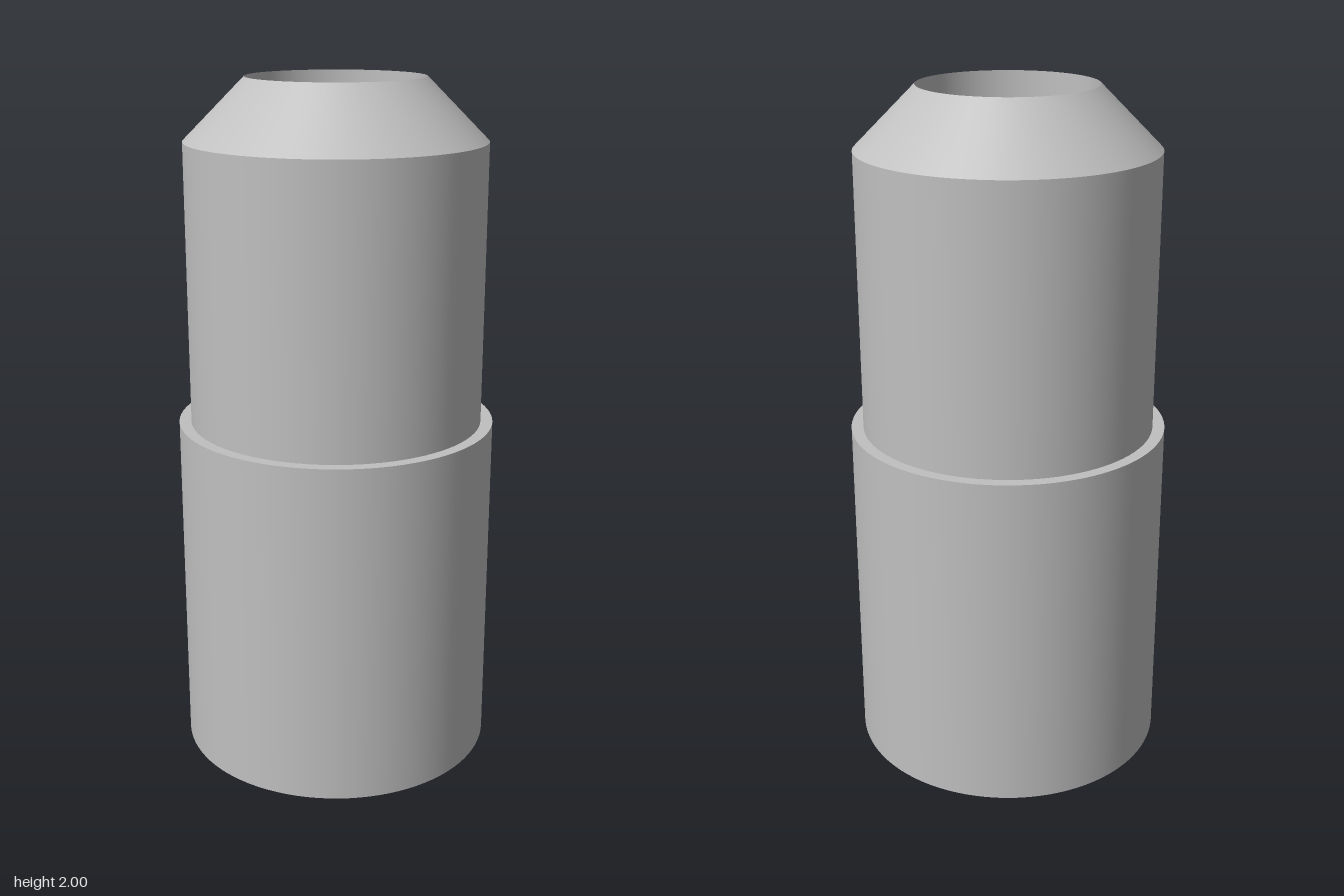
import * as THREE from 'three';

export function createModel() {
  const group = new THREE.Group();
  group.name = 'steppedSleeve';
  const metal = new THREE.MeshStandardMaterial({ color: 0xc0c0c0 });
  metal.name = 'greyMetal';

  const bore = 0.254, body = 0.429, base = 0.464;
  const stepY = 1.013, chamferY = 1.825, topY = 2;

  // Closed profile [radius, y], bottom inner edge outwards, up, and back down the bore
  const profile = [
    ['bottomRing', bore, 0],
    ['baseWall', base, 0],
    ['stepLedge', base, stepY],
    ['upperWall', body, stepY],
    ['topChamfer', body, chamferY],
    ['boreWall', bore, topY],
  ];

  // One surface per profile edge keeps the rims sharp and the walls smooth
  profile.forEach(([name, r, y], i) => {
    const [, r2, y2] = profile[(i + 1) % profile.length];
    const edge = [new THREE.Vector2(r, y), new THREE.Vector2(r2, y2)];
    const mesh = new THREE.Mesh(new THREE.LatheGeometry(edge, 96), metal);
    mesh.name = name;
    group.add(mesh);
  });

  return group;
}
